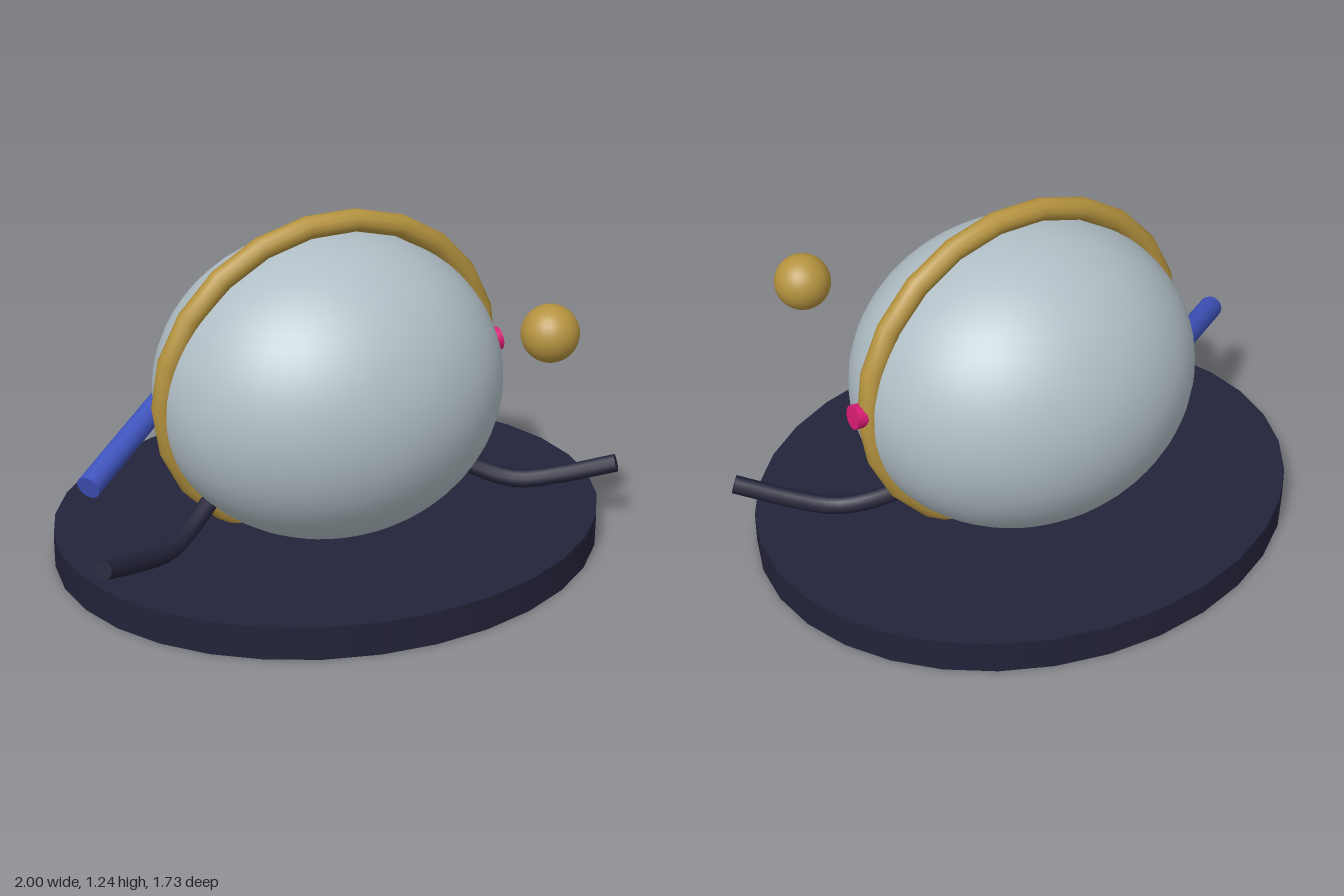
import * as THREE from 'three';

export function createModel() {
  const model = new THREE.Group();
  const material = (name, color) => {
    const m = new THREE.MeshStandardMaterial({ color });
    m.name = name;
    return m;
  };
  const dark = material('midnight', 0x23233a);
  const silver = material('silver grey', 0xb0bec5);
  const gold = material('gold', 0xb5933f);
  const blue = material('blue', 0x3f54bd);
  const pink = material('pink', 0xd81b72);

  const add = (name, geometry, mat, x = 0, y = 0, z = 0) => {
    const mesh = new THREE.Mesh(geometry, mat);
    mesh.name = name;
    mesh.position.set(x, y, z);
    model.add(mesh);
    return mesh;
  };

  // Capped cylinder running between two points
  const rod = (name, from, to, radius, sides, mat) => {
    const a = new THREE.Vector3(...from), b = new THREE.Vector3(...to);
    const dir = b.clone().sub(a);
    const mesh = add(name, new THREE.CylinderGeometry(radius, radius, dir.length(), sides), mat);
    mesh.position.copy(a).add(b).multiplyScalar(0.5);
    mesh.quaternion.setFromUnitVectors(new THREE.Vector3(0, 1, 0), dir.normalize());
    return mesh;
  };

  // Oval base plate
  add('base', new THREE.CylinderGeometry(1, 1, 0.12, 32), dark, 0, 0.06, 0).scale.z = 0.865;

  // Oval body
  add('body', new THREE.SphereGeometry(1, 48, 32), silver, 0, 0.6, 0).scale.set(0.63, 0.55, 0.557);

  // Slightly tilted band around the body
  const band = add('band', new THREE.TorusGeometry(0.622, 0.042, 12, 22), gold, 0, 0.621, 0);
  band.scale.y = 0.942;
  band.rotation.set(0.067, 0.015, 0.01);

  // Small floating ball
  add('ball', new THREE.SphereGeometry(0.1, 24, 16), gold, 0.58, 0.88, 0.525);

  // Button on the band
  rod('button', [0.6, 0.643, 0], [0.68, 0.652, 0], 0.043, 16, pink);

  // Spout leaving the body at a slant
  rod('spout', [-0.945, 0.445, 0.15], [-0.45, 0.623, -0.24], 0.043, 16, blue);

  // Curved arms, mirrored left and right
  for (const side of [-1, 1]) {
    const path = new THREE.CatmullRomCurve3([
      [0.975, 0.25, 0.37], [0.81, 0.19, 0.26], [0.68, 0.16, 0.175],
      [0.58, 0.185, 0.108], [0.44, 0.262, 0.015],
    ].map(([x, y, z]) => new THREE.Vector3(side * x, y, z)));
    const name = side > 0 ? 'leftArm' : 'rightArm';
    add(name, new THREE.TubeGeometry(path, 14, 0.033, 10), dark);
    // Flat cap closing the outer end
    const cap = add(name + 'Cap', new THREE.CircleGeometry(0.033, 10), dark);
    cap.position.copy(path.getPoint(0));
    cap.lookAt(path.getPoint(0).sub(path.getTangent(0)));
  }

  return model;
}
